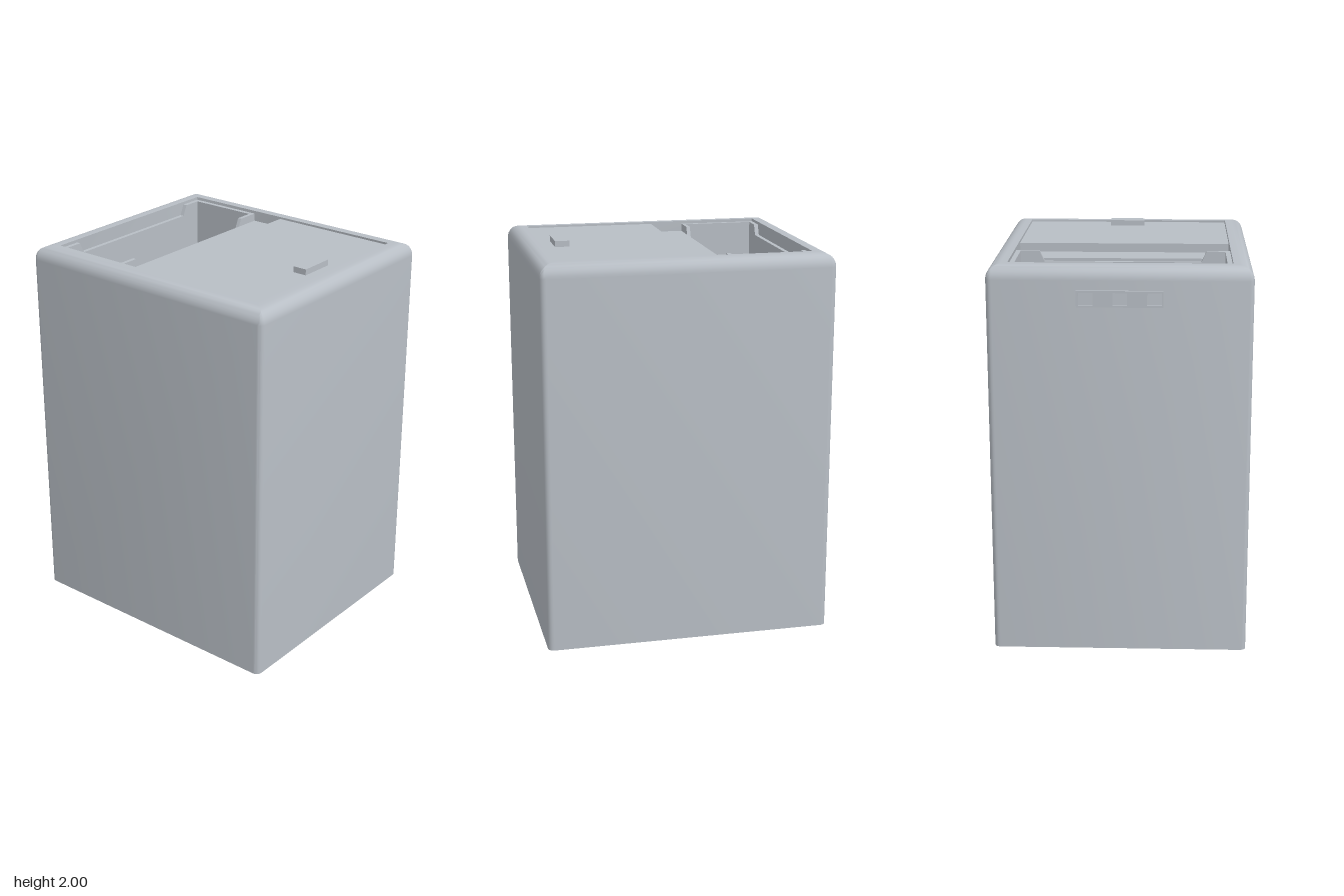
import * as THREE from 'three';
import { toCreasedNormals } from 'three/addons/utils/BufferGeometryUtils.js';

const CX = 0.003, CZ = -0.0025, HX = 0.738, HZ = 0.6425; // body centre and half sizes
const TOP = 1.98, ROUND = 0.068;

// Rounded rectangle loop, shrunk by an inset
function loop(hx, hz, r, y, n = 5) {
  const pts = [];
  for (let q = 0; q < 4; q++) {
    const sx = q === 0 || q === 3 ? 1 : -1, sz = q < 2 ? 1 : -1;
    for (let i = 0; i <= n; i++) {
      const a = (q + i / n) * Math.PI / 2;
      pts.push(CX + sx * (hx - r) + r * Math.cos(a), y, CZ + sz * (hz - r) + r * Math.sin(a));
    }
  }
  return pts;
}

// Cabinet skin: closed base, straight sides, rounded top edge, recessed opening
function bodyGeometry() {
  const loops = [loop(0, 0, 0, 0), loop(HX, HZ, 0.03, 0)];
  const steps = 8;
  for (let i = 0; i <= steps; i++) {
    const a = (i / steps) * Math.PI / 2;
    const inset = ROUND * (1 - Math.cos(a));
    loops.push(loop(HX - inset, HZ - inset, Math.max(0.03 - inset, 0.004), TOP - ROUND + ROUND * Math.sin(a)));
  }
  loops.push(loop(HX - 0.1, HZ - 0.1, 0.002, TOP), loop(HX - 0.1, HZ - 0.1, 0.002, 1.87));
  const n = loops[0].length / 3, index = [];
  for (let k = 0; k < loops.length - 1; k++) {
    for (let i = 0; i < n; i++) {
      const j = (i + 1) % n, a = k * n + i, b = k * n + j, c = a + n, d = b + n;
      index.push(a, c, b, b, c, d);
    }
  }
  const g = new THREE.BufferGeometry();
  g.setAttribute('position', new THREE.Float32BufferAttribute(loops.flat(), 3));
  g.setIndex(index);
  return toCreasedNormals(g, 0.6);
}

export function createModel() {
  const group = new THREE.Group();
  const casing = new THREE.MeshStandardMaterial({ color: 0xb8bec5 });
  casing.name = 'greyCasing';

  const add = (name, geometry, parent = group) => {
    const m = new THREE.Mesh(geometry, casing);
    m.name = name;
    parent.add(m);
    return m;
  };
  // Box given by its limits on each axis
  const box = (name, x0, x1, y0, y1, z0, z1, parent) => {
    const m = add(name, new THREE.BoxGeometry(x1 - x0, y1 - y0, z1 - z0), parent);
    m.position.set((x0 + x1) / 2, (y0 + y1) / 2, (z0 + z1) / 2);
    return m;
  };
  // Shape drawn in z and y, extruded along x from x0 to x1
  const sidePlate = (name, shape, x0, x1, parent) => {
    const g = new THREE.ExtrudeGeometry(shape, { depth: x1 - x0, bevelEnabled: false });
    g.rotateY(-Math.PI / 2);
    add(name, g, parent).position.x = x1;
  };

  add('body', bodyGeometry());

  // Sliding lid with its handle, over a lower deck
  box('deck', -0.225, 0.64, 1.87, 1.925, -0.544, 0.539);
  box('lid', -0.05, 0.64, 1.925, 1.97, -0.543, 0.538);
  box('lidHandle', 0.51, 0.583, 1.97, 2, -0.095, 0.09);

  // Open bin: side walls are cut lower between the raised ends
  const bin = new THREE.Group();
  bin.name = 'bin';
  group.add(bin);
  const floor = 0.25, high = 1.965, low = 1.91;
  const wall = new THREE.Shape([
    [-0.544, floor], [0.539, floor], [0.539, high], [0.42, high], [0.395, low],
    [-0.4, low], [-0.425, high], [-0.544, high],
  ].map(([z, y]) => new THREE.Vector2(z, y)));
  sidePlate('binOuterWall', wall, -0.635, -0.613, bin);
  sidePlate('binInnerWall', wall, -0.245, -0.225, bin);
  box('binBackWall', -0.613, -0.245, floor, high, -0.544, -0.52, bin);
  box('binFrontWall', -0.613, -0.245, floor, high, 0.515, 0.539, bin);
  box('binFloor', -0.613, -0.245, floor, floor + 0.03, -0.52, 0.515, bin);

  // Raised housing at the front of the bin, with a round stepped cap
  box('housing', -0.612, -0.246, floor + 0.03, 0.7, 0.15, 0.514, bin);
  [[0.147, 0.7, 0.02], [0.07, 0.72, 0.02]].forEach(([r, y, h]) => {
    add('housingCap', new THREE.CylinderGeometry(r, r, h, 40), bin).position.set(-0.43, y + h / 2, 0.332);
  });

  // Control panel on the side: framed windows with small buttons between
  const panel = new THREE.Shape([
    [-0.21, 1.785], [0.208, 1.785], [0.208, 1.865], [-0.21, 1.865],
  ].map(([z, y]) => new THREE.Vector2(z, y)));
  for (const z of [-0.165, 0, 0.165]) {
    panel.holes.push(new THREE.Path([
      [-0.035, 1.795], [-0.035, 1.855], [0.035, 1.855], [0.035, 1.795],
    ].map(([dz, y]) => new THREE.Vector2(z + dz, y))));
  }
  sidePlate('controlPanel', panel, -0.747, -0.734);
  for (const z of [-0.083, 0.083]) box('panelButton', -0.749, -0.746, 1.815, 1.835, z - 0.01, z + 0.01);

  return group;
}
